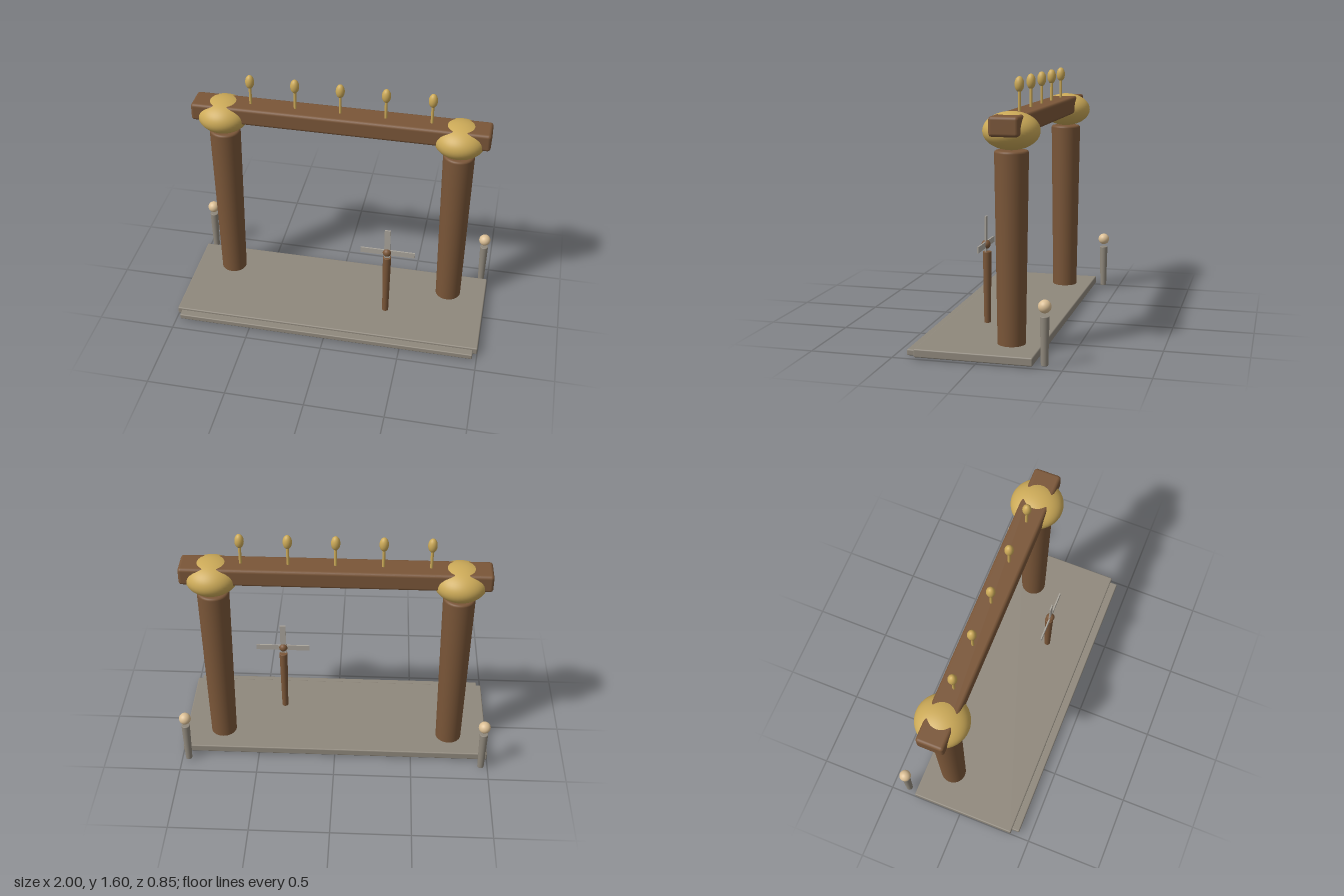
import * as THREE from 'three';
import { RoundedBoxGeometry } from 'three/addons/geometries/RoundedBoxGeometry.js';

const mat = (color) => new THREE.MeshStandardMaterial({ color });

export function createModel() {
  const model = new THREE.Group();
  const wood = mat(0x7a5638);
  const gold = mat(0xccaa58);
  const stone = mat(0x8f887c);
  const cream = mat(0xdcc096);
  const steel = mat(0xaaa59c);
  const plaqueTone = mat(0x8c7a56);

  const add = (name, geometry, material, x, y, z) => {
    const mesh = new THREE.Mesh(geometry, material);
    mesh.name = name;
    mesh.position.set(x, y, z);
    model.add(mesh);
    return mesh;
  };

  // Box given by its extents, with softened edges
  const block = (name, material, [x0, x1], [y0, y1], [z0, z1], r) =>
    add(name, new RoundedBoxGeometry(x1 - x0, y1 - y0, z1 - z0, 3, r), material,
      (x0 + x1) / 2, (y0 + y1) / 2, (z0 + z1) / 2);

  // Tapered round post with a small rounded rim at each end
  const post = (name, material, x, z, y0, y1, rBottom, rTop, bevel) => {
    const points = [new THREE.Vector2(0, 0)];
    for (let i = 0; i <= 4; i++) {
      const a = (i / 4) * Math.PI / 2;
      points.push(new THREE.Vector2(rBottom - bevel + bevel * Math.sin(a), bevel - bevel * Math.cos(a)));
    }
    for (let i = 0; i <= 4; i++) {
      const a = (i / 4) * Math.PI / 2;
      points.push(new THREE.Vector2(rTop - bevel + bevel * Math.cos(a), y1 - y0 - bevel + bevel * Math.sin(a)));
    }
    points.push(new THREE.Vector2(0, y1 - y0));
    return add(name, new THREE.LatheGeometry(points, 32), material, x, y0, z);
  };

  const ellipsoid = (name, material, x, y, z, rx, ry, segments = 32) =>
    add(name, new THREE.SphereGeometry(1, segments, segments * 0.75), material, x, y, z)
      .scale.set(rx, ry, rx);

  const gateZ = -0.147;

  // Stone floor, front step and the plaque beneath
  block('platform', stone, [-1, 1], [0.01, 0.06], [-0.33, 0.37], 0.008);
  block('frontStep', stone, [-0.972, 0.972], [0.01, 0.046], [0.3, 0.42], 0.007);
  block('undersidePlaque', plaqueTone, [-0.4, 0.4], [0.005, 0.03], [0.125, 0.19], 0.003);

  // Mirrored columns, capitals and rear marker posts
  for (const side of [-1, 1]) {
    post('column', wood, side * 0.75, gateZ, 0, 1.19, 0.082, 0.099, 0.015);
    ellipsoid('capital', gold, side * 0.75, 1.3, gateZ, 0.165, 0.11, 40);
    post('markerPost', stone, side * 0.956, -0.39, 0.01, 0.295, 0.021, 0.027, 0.004);
    ellipsoid('markerBall', cream, side * 0.956, 0.35, -0.39, 0.038, 0.038);
  }

  // Crossbeam
  block('beam', wood, [-0.94, 0.94], [1.28, 1.395], [gateZ - 0.087, gateZ + 0.087], 0.02);

  // Row of finials along the beam
  for (let i = -2; i <= 2; i++) {
    const x = i * 0.285;
    add('finialStem', new THREE.CylinderGeometry(0.009, 0.009, 0.15, 16), gold, x, 1.455, gateZ);
    ellipsoid('finialBulb', gold, x, 1.55, gateZ, 0.028, 0.046, 20);
  }

  // Pinwheel on its own post
  const wheelX = 0.36;
  post('pinwheelPost', wood, wheelX, 0.11, 0.04, 0.51, 0.02, 0.027, 0.004);
  ellipsoid('pinwheelHub', wood, wheelX, 0.553, 0.117, 0.028, 0.028, 24);
  const blade = new THREE.BoxGeometry(0.352, 0.038, 0.009);
  add('pinwheelBladeAcross', blade, steel, wheelX + 0.003, 0.553, 0.117);
  add('pinwheelBladeUpright', blade, steel, wheelX, 0.553, 0.117).rotation.z = Math.PI / 2;

  return model;
}
